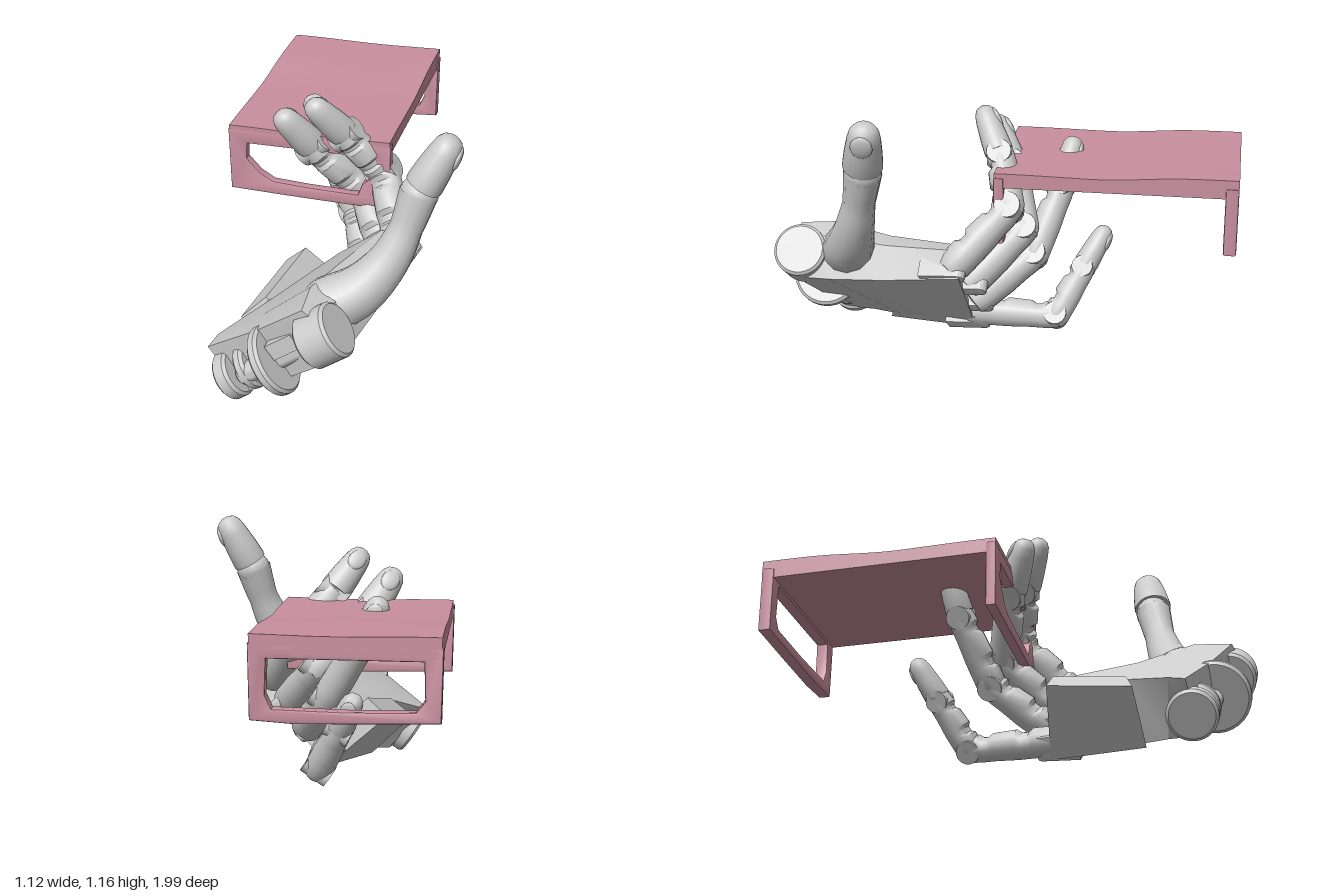
import * as THREE from 'three';
import { toCreasedNormals } from 'three/addons/utils/BufferGeometryUtils.js';

const V = (a) => new THREE.Vector3(...a);
const grey = new THREE.MeshStandardMaterial({ color: 0xcccccc, side: THREE.DoubleSide });
const pink = new THREE.MeshStandardMaterial({ color: 0xc98fa0 });
const ACROSS = V([0.82, 0.57, 0]).normalize(); // across the palm, towards the thumb
const ACROSS_KNUCKLES = V([0.69, 0.72, 0]).normalize();
const ACROSS_THUMB = V([0, 0, 1]);

function add(parent, name, geo, mat = grey, crease = 0.6) {
  const m = new THREE.Mesh(toCreasedNormals(geo, crease), mat);
  m.name = name;
  parent.add(m);
  return m;
}

// Group whose +y runs from a to b and whose x follows the hinge axis
function along(parent, name, a, b, across) {
  const g = new THREE.Group();
  g.name = name;
  const y = b.clone().sub(a).normalize();
  const x = across.clone().addScaledVector(y, -across.dot(y)).normalize();
  g.quaternion.setFromRotationMatrix(new THREE.Matrix4().makeBasis(x, y, x.clone().cross(y)));
  g.position.copy(a);
  parent.add(g);
  return g;
}

const lathe = (pts, n = 16) => new THREE.LatheGeometry(pts.map((p) => new THREE.Vector2(...p)), n);

// Link of a finger: smooth on the back, notched on the inside where it folds
function link(parent, a, b, r0, r1, across) {
  const g = along(parent, 'fingerLink', a, b, across);
  const L = a.distanceTo(b);
  const shell = lathe([[0, -r0 * 0.6], [r0 * 0.8, -r0 * 0.5], [r0, 0], [r0, L * 0.22], [r0, L * 0.27], [r0, L * 0.36],
    [r0, L * 0.42], [r1, L * 0.7], [r1, L * 0.76], [r1, L * 0.82], [r1, L * 0.88], [r1 * 0.9, L + r1 * 0.3], [0, L + r1 * 0.5]], 16);
  const p = shell.attributes.position;
  for (let i = 0; i < p.count; i++) {
    const t = p.getY(i) / L, z = p.getZ(i);
    const notch = (t > 0.25 && t < 0.38) || (t > 0.74 && t < 0.84);
    p.setZ(i, z * (z > 0 && notch ? 0.72 : 0.96));
  }
  add(g, 'linkShell', shell);
  const pin = add(g, 'hinge', new THREE.CylinderGeometry(r1 * 0.8, r1 * 0.8, r1 * 1.9, 16));
  pin.rotation.z = Math.PI / 2;
  pin.position.y = L;
}

// Domed, tapering fingertip with a nail on the back
function fingertip(parent, a, b, r, across) {
  const g = along(parent, 'fingertip', a, b, across);
  const L = a.distanceTo(b);
  add(g, 'tipShell', lathe([[0, L * 0.08], [r, L * 0.08], [r * 1.02, L * 0.14], [r * 0.96, L * 0.4], [r * 0.85, L * 0.7], [r * 0.74, L * 0.86],
    [r * 0.54, L * 0.95], [r * 0.27, L * 0.99], [0, L]], 20), grey, 0.9).scale.z = 0.92;
  const nail = add(g, 'nail', new THREE.SphereGeometry(1, 16, 10), grey, 1);
  nail.scale.set(r * 0.56, L * 0.2, r * 0.2);
  nail.position.set(0, L * 0.72, -r * 0.67);
  nail.rotation.x = 0.15;
}

function finger(parent, name, points, radii, across = ACROSS) {
  const g = new THREE.Group();
  g.name = name;
  parent.add(g);
  const p = points.map(V);
  const last = p.length - 2;
  for (let i = 0; i < last; i++) link(g, p[i], p[i + 1], radii[i], radii[i + 1], across);
  fingertip(g, p[last], p[last + 1], radii[last], across);
  return g;
}

// Solid skinned over cross-sections, given wrist first; k is where the end caps fan from
function loft(rings, k) {
  const idx = [], n = rings[0].length;
  for (let i = 0; i < rings.length - 1; i++) {
    for (let j = 0; j < n; j++) {
      const a = i * n + j, b = i * n + (j + 1) % n;
      idx.push(a, a + n, b, b, a + n, b + n);
    }
  }
  const end = (rings.length - 1) * n;
  for (let j = 1; j < n - 1; j++) {
    const a = (k + j) % n, b = (k + j + 1) % n;
    idx.push(k, a, b, end + k, end + b, end + a);
  }
  const g = new THREE.BufferGeometry();
  g.setAttribute('position', new THREE.Float32BufferAttribute(rings.flat(2), 3));
  g.setIndex(idx);
  return g;
}

// Wheel of a hinge turning about the palm's width
function wheel(parent, name, c, r, w) {
  const b = Math.min(0.012, w / 4);
  const m = add(parent, name, lathe([[0, -w / 2], [r - b, -w / 2], [r, b - w / 2], [r, w / 2 - b], [r - b, w / 2], [0, w / 2]], 32));
  m.quaternion.setFromUnitVectors(V([0, 1, 0]), ACROSS);
  m.position.set(...c);
}

function buildHand() {
  const hand = new THREE.Group();
  hand.name = 'hand';

  // Palm: back of the hand first, then round over the thumb side
  add(hand, 'palm', loft([
    [[-0.26, 0.02, 0.79], [0.18, 0.34, 0.91], [0.11, 0.5, 0.93], [0.03, 0.54, 0.91], [-0.18, 0.37, 0.84], [-0.42, 0.2, 0.76]],
    [[-0.23, 0.03, 0.66], [0.21, 0.35, 0.75], [0.13, 0.52, 0.75], [0.02, 0.55, 0.75], [-0.19, 0.37, 0.72], [-0.4, 0.22, 0.69]],
    [[-0.1, 0.07, 0.5], [0.26, 0.38, 0.5], [0.18, 0.51, 0.5], [0.06, 0.51, 0.5], [-0.12, 0.38, 0.5], [-0.22, 0.31, 0.5]],
    [[0.05, 0.13, 0.14], [0.34, 0.44, 0.15], [0.27, 0.54, 0.21], [0.17, 0.53, 0.21], [-0.02, 0.38, 0.19], [-0.11, 0.29, 0.17]],
  ], 4), grey, 0.5);

  // Separate part carrying the little finger
  add(hand, 'littleFingerPalm', loft([
    [[-0.16, 0.03, 0.56], [-0.07, 0.11, 0.53], [-0.25, 0.31, 0.5], [-0.35, 0.22, 0.54]],
    [[0.0, 0.075, 0.13], [0.07, 0.15, 0.13], [-0.17, 0.38, 0.18], [-0.26, 0.3, 0.17]],
  ], 0), grey, 0.4);

  // Round-ended lugs between the fingers, flush with the back of the hand
  const lug = new THREE.Shape().absarc(0, -0.032, 0.032, 0, Math.PI).lineTo(-0.032, -0.2).lineTo(0.032, -0.2);
  const lugGeo = new THREE.ExtrudeGeometry(lug, { depth: 0.1, bevelSize: 0.006, bevelThickness: 0.006, bevelOffset: -0.006, bevelSegments: 2 });
  [[0.32, 0.43, 0.13], [0.24, 0.345, 0.05], [0.125, 0.22, 0.04], [0.035, 0.1, 0.07]].forEach(([x, y, z]) => {
    const tip = V([x - 0.004, y + 0.004, z]);
    const g = along(hand, 'knuckleLug', tip, tip.clone().add(V([0.14, 0.1, -0.97])), ACROSS_KNUCKLES);
    add(g, 'lugBody', lugGeo);
  });

  // Wrist hinge
  wheel(hand, 'wristDisc', [-0.11, 0.245, 0.84], 0.15, 0.05);
  wheel(hand, 'wristKnuckle', [-0.31, 0.095, 0.77], 0.105, 0.07);
  wheel(hand, 'wristKnuckle', [-0.23, 0.155, 0.775], 0.1, 0.05);
  wheel(hand, 'wristKnuckle', [0.11, 0.425, 0.885], 0.115, 0.15);
  wheel(hand, 'wristPin', [-0.07, 0.265, 0.83], 0.045, 0.46);
  const latch = add(hand, 'wristLatch', new THREE.BoxGeometry(0.07, 0.13, 0.08));
  latch.position.set(-0.06, 0.34, 0.85);
  latch.rotation.z = -0.96;

  finger(hand, 'indexFinger', [[0.25, 0.47, 0.18], [0.12, 0.69, -0.03], [-0.03, 0.87, 0.03], [-0.16, 1.05, 0.13]],
    [0.076, 0.07, 0.067]);
  finger(hand, 'middleFinger', [[0.17, 0.37, 0.12], [0.02, 0.56, -0.08], [-0.18, 0.78, 0.0], [-0.305, 0.97, 0.1]],
    [0.076, 0.07, 0.07]);
  finger(hand, 'ringFinger', [[0.09, 0.26, 0.1], [-0.02, 0.43, -0.12], [-0.18, 0.7, -0.22], [-0.27, 0.9, -0.265]],
    [0.073, 0.068, 0.064]);
  finger(hand, 'littleFinger', [[0.0, 0.16, 0.14], [0.0, 0.155, -0.22], [-0.1, 0.35, -0.33], [-0.18, 0.52, -0.425]],
    [0.068, 0.063, 0.058]);

  // Thumb: a shaft of varying thickness between two ball joints
  const thumb = finger(hand, 'thumb', [[0.405, 0.92, 0.53], [0.525, 1.145, 0.485]], [0.082], ACROSS_THUMB);
  const path = new THREE.CatmullRomCurve3([[0.08, 0.44, 0.69], [0.2, 0.51, 0.65], [0.3, 0.63, 0.6], [0.36, 0.77, 0.56], [0.4, 0.91, 0.53]].map(V));
  const widths = [0.12, 0.105, 0.085, 0.068, 0.08];
  const rows = 16, sides = 12;
  const tube = new THREE.TubeGeometry(path, rows, 1, sides);
  const p = tube.attributes.position;
  for (let i = 0; i < p.count; i++) {
    const t = Math.floor(i / (sides + 1)) / rows;
    const c = path.getPointAt(t), s = t * 4, k = Math.min(3, Math.floor(s));
    const r = THREE.MathUtils.lerp(widths[k], widths[k + 1], s - k);
    const v = new THREE.Vector3().fromBufferAttribute(p, i).sub(c).multiplyScalar(r).add(c);
    p.setXYZ(i, v.x, v.y, v.z);
  }
  add(thumb, 'thumbShaft', tube);
  add(thumb, 'thumbJoint', new THREE.SphereGeometry(0.078, 16, 12), grey, 1).position.set(0.4, 0.905, 0.53);
  add(thumb, 'thumbRoot', new THREE.SphereGeometry(0.12, 20, 14), grey, 1).position.set(0.085, 0.44, 0.69);
  return hand;
}

// Upright end frame with a worn opening
function endFrame(parent, name, z, depth, hole) {
  const s = new THREE.Shape([[-0.55, 0.55], [-0.3, 0.542], [0, 0.535], [0.16, 0.545], [0.165, 0.83], [-0.555, 0.83]]
    .map((q) => new THREE.Vector2(...q)));
  s.holes.push(new THREE.Path(hole.map((q) => new THREE.Vector2(...q))));
  const g = new THREE.ExtrudeGeometry(s, { depth: depth - 0.016, bevelThickness: 0.008, bevelSize: 0.008, bevelOffset: -0.005, bevelSegments: 2 });
  add(parent, name, g, pink).position.z = z + 0.008;
}

function buildTable() {
  const table = new THREE.Group();
  table.name = 'table';
  // Slightly uneven top, rising to the back
  const top = new THREE.BoxGeometry(0.715, 0.06, 1.02, 16, 1, 24);
  const p = top.attributes.position;
  for (let i = 0; i < p.count; i++) {
    if (p.getY(i) < 0) continue;
    const x = p.getX(i), z = p.getZ(i);
    const rise = 0.018 * THREE.MathUtils.smoothstep(-z, -0.1, 0.3);
    p.setY(i, p.getY(i) + rise + 0.003 * Math.sin(x * 9 + 1) * Math.cos(z * 7));
  }
  top.computeVertexNormals();
  add(table, 'tableTop', top, pink).position.set(-0.195, 0.82, -0.48);
  endFrame(table, 'frontFrame', -0.012, 0.044, [[-0.475, 0.775], [0.09, 0.775], [0.09, 0.68], [0.045, 0.64], [0.025, 0.585],
    [-0.2, 0.59], [-0.36, 0.6], [-0.42, 0.635], [-0.48, 0.7]]);
  endFrame(table, 'backFrame', -0.99, 0.055, [[-0.49, 0.78], [0.1, 0.78], [0.105, 0.64], [0.08, 0.585], [-0.2, 0.58], [-0.46, 0.585], [-0.495, 0.63]]);
  return table;
}

export function createModel() {
  const model = new THREE.Group();
  model.name = 'handAndTable';
  model.add(buildHand(), buildTable());
  return model;
}
